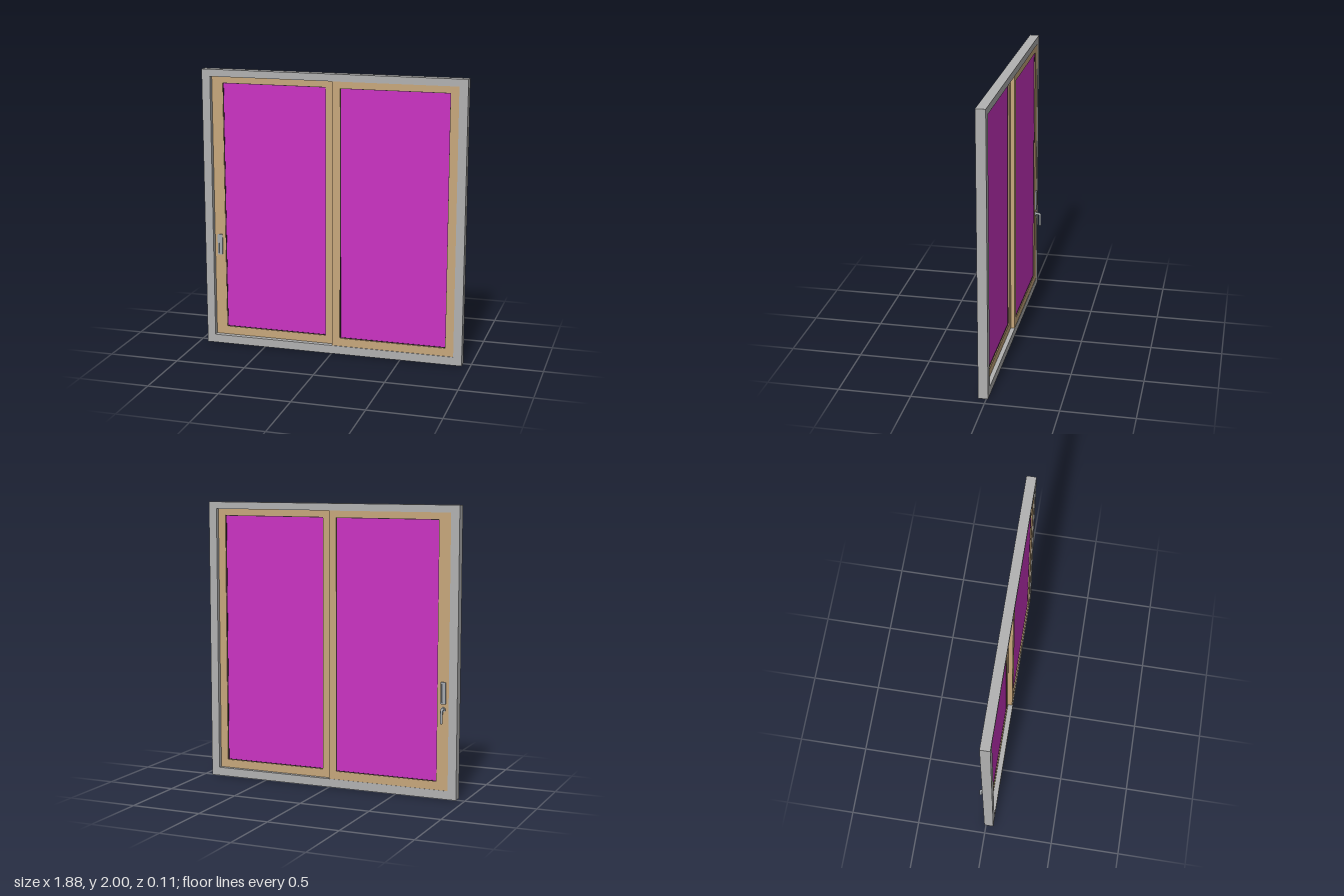
import * as THREE from 'three';

const material = (name, color) => {
  const m = new THREE.MeshStandardMaterial({ color });
  m.name = name;
  return m;
};

// Traces a rectangle with rounded corners onto a shape or path.
function roundedRect(path, x0, y0, x1, y1, r) {
  if (r === 0) {
    path.moveTo(x0, y0).lineTo(x1, y0).lineTo(x1, y1).lineTo(x0, y1).closePath();
    return path;
  }
  path.moveTo(x0 + r, y0);
  path.lineTo(x1 - r, y0).quadraticCurveTo(x1, y0, x1, y0 + r);
  path.lineTo(x1, y1 - r).quadraticCurveTo(x1, y1, x1 - r, y1);
  path.lineTo(x0 + r, y1).quadraticCurveTo(x0, y1, x0, y1 - r);
  path.lineTo(x0, y0 + r).quadraticCurveTo(x0, y0, x0 + r, y0);
  return path;
}

// A rectangular slab from z0 to z1, with an optional rectangular opening.
function slab(name, mat, outer, outerR, z0, z1, inner, innerR = 0) {
  const shape = roundedRect(new THREE.Shape(), ...outer, outerR);
  if (inner) shape.holes.push(roundedRect(new THREE.Path(), ...inner, innerR));
  const geo = new THREE.ExtrudeGeometry(shape, { depth: z1 - z0, bevelEnabled: false, curveSegments: 5 });
  geo.translate(0, 0, z0);
  const mesh = new THREE.Mesh(geo, mat);
  mesh.name = name;
  return mesh;
}

const inset = ([x0, y0, x1, y1], d) => [x0 + d, y0 + d, x1 - d, y1 - d];

export function createModel() {
  const frameGrey = material('frame grey', 0xb2b2b2);
  const wood = material('wood', 0xc8a87c);
  const pane = material('magenta glass', 0xcb33c3);
  const rubber = material('dark gasket', 0x3a2a30);
  const metal = material('handle metal', 0xa6abb0);

  const model = new THREE.Group();
  model.name = 'slidingDoor';

  // Outer frame
  model.add(slab('outerFrame', frameGrey, [-0.94, 0, 0.94, 2], 0, -0.012, 0.055, [-0.88, 0.06, 0.88, 1.95]));

  // Sliding sash at the back, fixed sash at the front
  const sashes = [
    { name: 'slidingSash', outer: [-0.88, 0.06, 0.002, 1.95], glass: [-0.8, 0.118, -0.05, 1.905], z0: -0.01, z1: 0.018 },
    { name: 'fixedSash', outer: [0.002, 0.06, 0.88, 1.95], glass: [0.06, 0.118, 0.824, 1.905], z0: 0.018, z1: 0.05 },
  ];
  for (const { name, outer, glass, z0, z1 } of sashes) {
    const sash = new THREE.Group();
    sash.name = name;
    const mid = (z0 + z1) / 2;
    sash.add(
      slab('sashFrame', wood, outer, 0, z0, z1, glass, 0.008),
      slab('gasket', rubber, glass, 0.008, mid - 0.009, mid + 0.009, inset(glass, 0.005), 0.005),
      slab('glass', pane, inset(glass, 0.003), 0.006, mid - 0.006, mid + 0.006),
    );
    model.add(sash);
  }

  // Pull plates with a sunken slot, on both faces of the sliding sash
  const plate = [-0.859, 0.66, -0.823, 0.81];
  const slot = inset(plate, 0.009);
  for (const [name, z0, z1, floor0, floor1] of [
    ['frontPull', 0.018, 0.026, 0.018, 0.02],
    ['backPull', -0.021, -0.01, -0.013, -0.01],
  ]) {
    const pull = new THREE.Group();
    pull.name = name;
    pull.add(
      slab('pullRim', metal, plate, 0.006, z0, z1, slot, 0.005),
      slab('pullFloor', metal, slot, 0.005, floor0, floor1),
    );
    model.add(pull);
  }

  // Lever on the back: rose, spindle bending into a hanging grip
  const lever = new THREE.Group();
  lever.name = 'lever';
  const rose = new THREE.Mesh(new THREE.CylinderGeometry(0.017, 0.017, 0.007, 24), metal);
  rose.name = 'leverRose';
  rose.rotation.x = Math.PI / 2;
  rose.position.set(-0.841, 0.622, -0.0135);

  const path = new THREE.CurvePath();
  const p = (y, z) => new THREE.Vector3(-0.841, y, z);
  path.add(new THREE.LineCurve3(p(0.624, -0.01), p(0.624, -0.034)));
  path.add(new THREE.QuadraticBezierCurve3(p(0.624, -0.034), p(0.624, -0.046), p(0.612, -0.046)));
  path.add(new THREE.LineCurve3(p(0.612, -0.046), p(0.535, -0.046)));
  const arm = new THREE.Mesh(new THREE.TubeGeometry(path, 40, 0.009, 12), metal);
  arm.name = 'leverArm';
  const tip = new THREE.Mesh(new THREE.SphereGeometry(0.009, 12, 8), metal);
  tip.name = 'leverTip';
  tip.position.set(-0.841, 0.535, -0.046);
  lever.add(rose, arm, tip);
  model.add(lever);

  return model;
}
